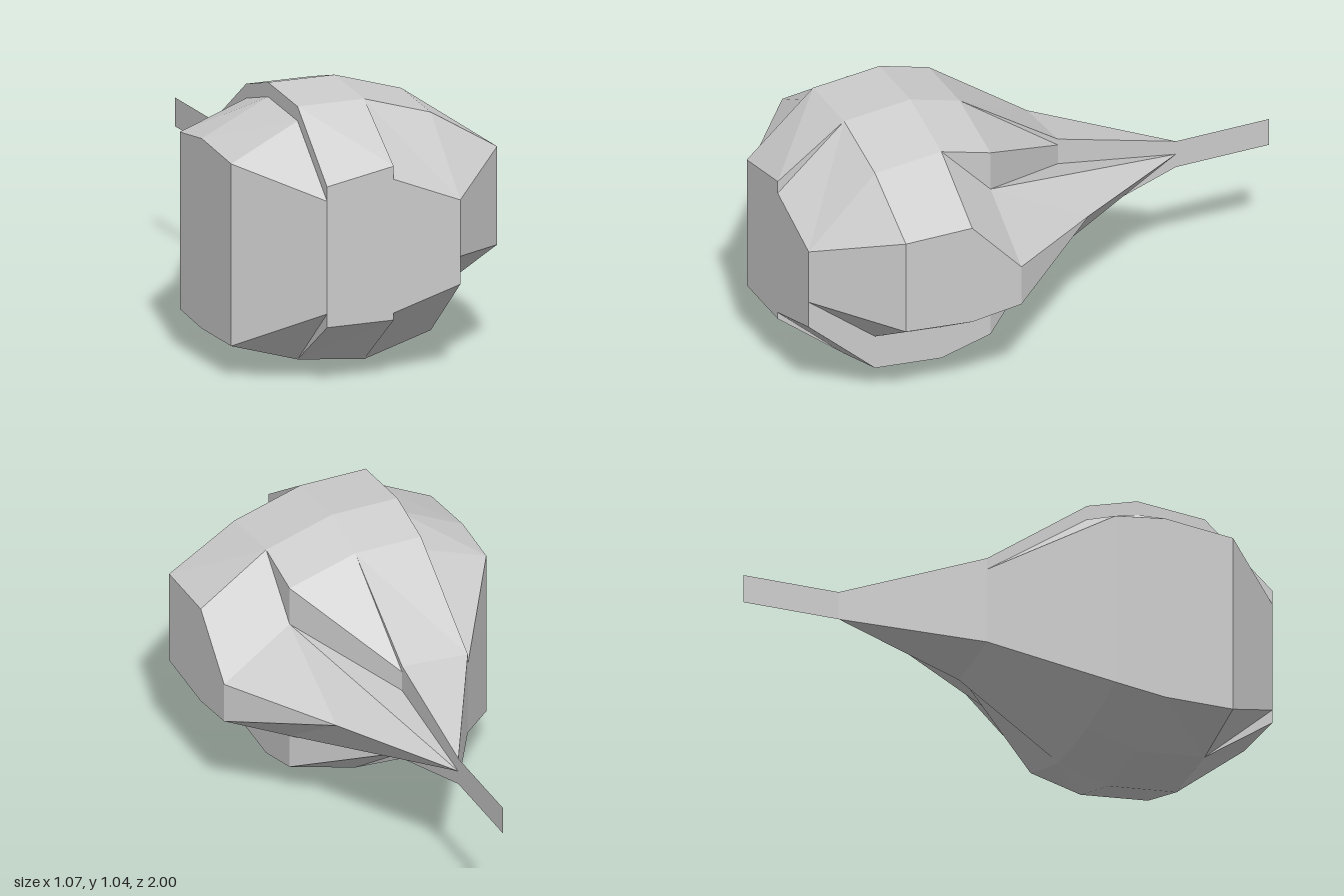
import * as THREE from 'three';

// Plan points [x, z]: columns L, m, c, r, R run from one flank to the other, numbered front to back
const X = { L: -0.535, m: -0.268, c: 0, r: 0.268, R: 0.535 };
const Z = [1, 0.73, 0.46, 0.26, -0.14, -0.62];
const plan = (id) => [X[id[0]], Z[+id[1]]];

// Each panel: plan cells (anticlockwise from above) and [top, bottom] height at each point
const PANELS = {
  rightFlank: {
    cells: ['L1 m0 m1', 'L1 m1 m2 L2', 'L2 m2 m3 L3', 'L3 m3 m4'],
    heights: {
      L1: [0.83, 0.135], L2: [0.86, 0.135], L3: [0.835, 0.16],
      m0: [0.725, 0.295], m1: [0.965, 0.055], m2: [0.99, 0.03], m3: [0.935, 0.085], m4: [0.66, 0.365],
    },
  },
  rightCrown: {
    cells: ['m0 c0 c1 m1', 'm1 c1 c2 m2', 'm2 c2 c3 m3', 'm3 c3 c4 m4', 'm4 c4 c5'],
    heights: {
      m0: [0.78, 0.243], m1: [1.02, 0.055], m2: [1.045, 0.03], m3: [0.99, 0.085], m4: [0.705, 0.365],
      c0: [0.83, 0.243], c1: [1.02, 0.027], c2: [1.045, 0.003], c3: [0.99, 0.06], c4: [0.725, 0.325], c5: [0.595, 0.485],
    },
  },
  leftCrown: {
    cells: ['c0 r0 r1 c1', 'c1 r1 r2 c2', 'c2 r2 r3 c3', 'c3 r3 c4'],
    heights: {
      c0: [0.78, 0.27], c1: [1.02, 0.027], c2: [1.045, 0.003], c3: [0.99, 0.06], c4: [0.70, 0.35],
      r0: [0.672, 0.35], r1: [0.94, 0.108], r2: [0.965, 0.083], r3: [0.91, 0.135],
    },
  },
  leftFlank: {
    cells: ['r0 R1 r1', 'r1 R1 R2 r2', 'r2 R2 R3 r3', 'r3 R3 r4', 'c4 r3 r4 c5'],
    heights: {
      r0: [0.672, 0.457], r1: [0.94, 0.243], r2: [0.965, 0.215], r3: [0.755, 0.27], r4: [0.54, 0.54],
      R1: [0.78, 0.405], R2: [0.78, 0.38], R3: [0.565, 0.405],
      c4: [0.62, 0.485], c5: [0.54, 0.54],
    },
  },
};

const material = new THREE.MeshStandardMaterial({ color: 0xcccccc, flatShading: true, side: THREE.DoubleSide });

function facetMesh(name, positions) {
  const geometry = new THREE.BufferGeometry();
  geometry.setAttribute('position', new THREE.Float32BufferAttribute(positions, 3));
  geometry.computeVertexNormals();
  const mesh = new THREE.Mesh(geometry, material);
  mesh.name = name;
  return mesh;
}

export function createModel() {
  const group = new THREE.Group();
  group.name = 'bulb';

  // Record which panel owns each directed plan edge
  const owner = {};
  const edgesOf = (ids) => ids.map((p, i) => [p, ids[(i + 1) % ids.length]]);
  for (const panel of Object.values(PANELS))
    for (const cell of panel.cells)
      for (const [p, q] of edgesOf(cell.split(' '))) owner[p + q] = panel;

  for (const [name, panel] of Object.entries(PANELS)) {
    const out = [];
    const point = (id, y) => { const [x, z] = plan(id); return [x, y, z]; };
    const tri = (a, b, c) => out.push(...a, ...b, ...c);
    // Vertical wall between two heights along a plan edge
    const wall = (p, q, lo, hi) => {
      if (hi[0] - lo[0] > 1e-4) tri(point(p, lo[0]), point(q, hi[1]), point(p, hi[0]));
      if (hi[1] - lo[1] > 1e-4) tri(point(p, lo[0]), point(q, lo[1]), point(q, hi[1]));
    };
    const h = panel.heights;

    for (const cell of panel.cells) {
      const ids = cell.split(' ');
      // Upper and lower skins
      const tris = ids.length === 3 ? [ids] : [[ids[0], ids[1], ids[3]], [ids[1], ids[2], ids[3]]];
      for (const [a, b, c] of tris) {
        tri(point(a, h[a][0]), point(b, h[b][0]), point(c, h[c][0]));
        tri(point(a, h[a][1]), point(c, h[c][1]), point(b, h[b][1]));
      }
      // Outer side walls, and steps where this panel stands proud of its neighbour
      for (const [p, q] of edgesOf(ids)) {
        const other = owner[q + p];
        if (other === panel) continue;
        const top = [h[p][0], h[q][0]], bottom = [h[p][1], h[q][1]];
        if (!other) { wall(p, q, bottom, top); continue; }
        const o = other.heights;
        wall(p, q, [Math.min(top[0], o[p][0]), Math.min(top[1], o[q][0])], top);
        wall(p, q, bottom, [Math.max(bottom[0], o[p][1]), Math.max(bottom[1], o[q][1])]);
      }
    }
    group.add(facetMesh(name, out));
  }

  // Thin flat tail standing on the centre line
  const tail = new THREE.Mesh(new THREE.PlaneGeometry(0.38, 0.11), material);
  tail.name = 'tail';
  tail.rotation.y = Math.PI / 2;
  tail.position.set(0, 0.54, -0.81);
  group.add(tail);

  return group;
}
